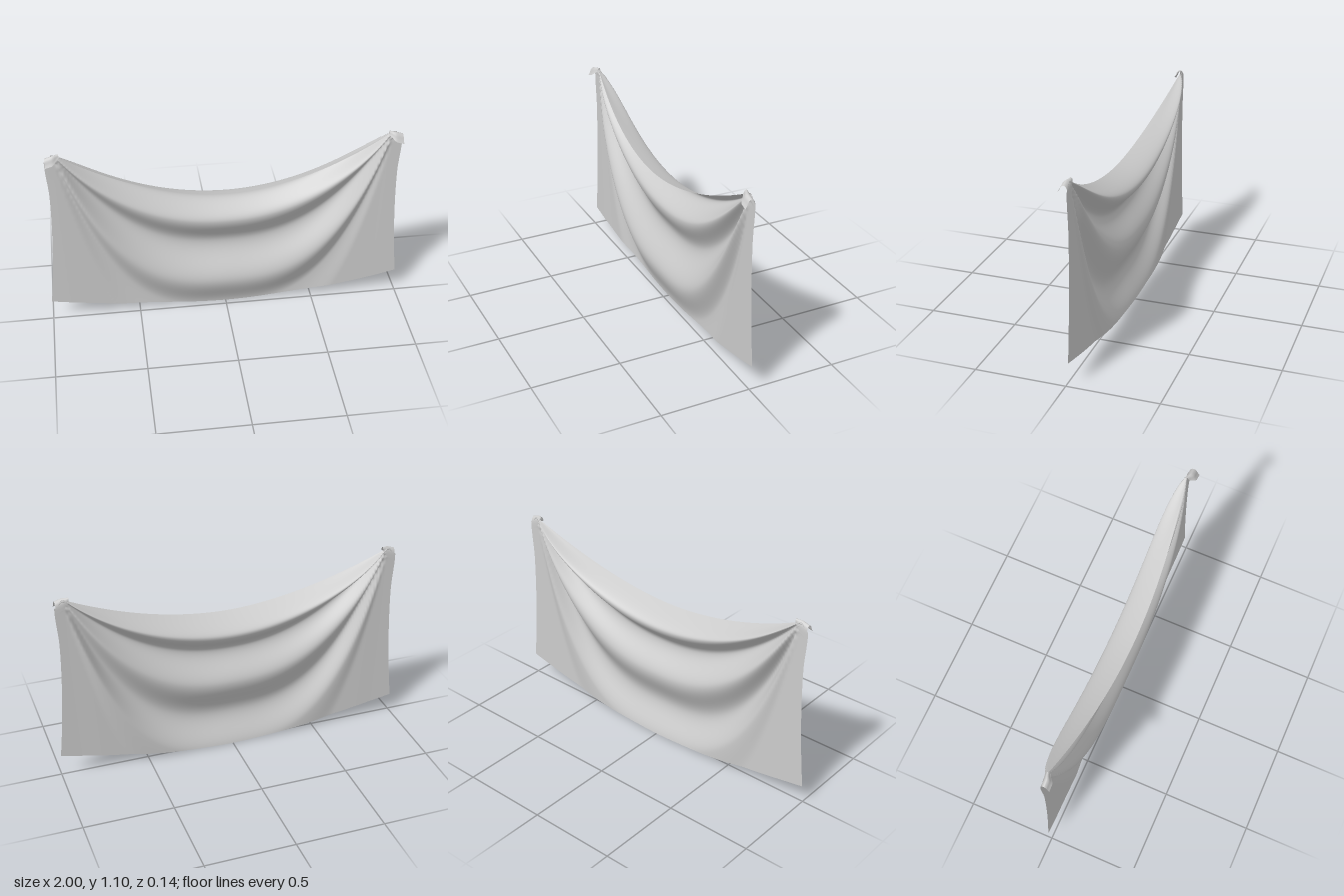
import * as THREE from 'three';

// Fold depth along the middle of the cloth: [height, z] at each ridge and valley
const FOLDS = [[0.905, 0.212], [0.735, -0.072], [0.6, 0.024], [0.42, -0.054],
  [0.19, 0.032], [-0.02, -0.035], [-0.3, -0.018], [-3, -0.015]];
const BASE_Z = -0.015, PEG_X = 0.92, PEG_Y = 1.09;
const { lerp, smoothstep, clamp } = THREE.MathUtils;

function foldDepth(h) {
  for (let i = 1; i < FOLDS.length; i++) {
    const [h1, z1] = FOLDS[i - 1], [h0, z0] = FOLDS[i];
    if (h >= h0) return lerp(z0, z1, smoothstep(h, h0, h1));
  }
  return BASE_Z;
}

// A swag line hung between both pegs, passing the middle at height h
const swag = (h, t) => h + (PEG_Y - h) * Math.pow(t, 1.9 + 1.5 * (0.82 - h));

// Finds which swag line runs through a point
function swagAt(t, y) {
  let lo = -2.5, hi = 0.82;
  for (let i = 0; i < 30; i++) {
    const mid = (lo + hi) / 2;
    if (swag(mid, t) < y) lo = mid; else hi = mid;
  }
  return (lo + hi) / 2;
}

// Half width of the cloth: flared at the hem, drawn in near the upper third
const halfWidth = (y) => 0.955 + 0.06 * Math.pow(clamp((0.8 - y) / 0.8, 0, 1), 1.8)
  + 0.012 * smoothstep(y, 0.82, 1.03);

function clothPoint(u, v, target) {
  const a = Math.abs(u), xTop = a * 0.967;
  const top = swag(0.82, Math.min(xTop / PEG_X, 1)) - 0.045 * smoothstep(xTop, PEG_X, 0.967);
  const bottom = 0.122 * Math.pow(a, 1.7) + 0.012 * u * a * a;
  const y = lerp(top, bottom, Math.pow(v, 1.5));
  const x = u * lerp(0.967, halfWidth(y), smoothstep(v, 0, 0.15));
  const t = Math.min(Math.abs(x) / PEG_X, 0.985);
  const h = swagAt(t, y);
  // folds fade out at the pegs; the turned top edge fades sooner
  const fade = lerp(1 - Math.pow(t, 8), 1 - t * t, smoothstep(h, 0.735, 0.82));
  const side = 1 - smoothstep(Math.abs(x), 0.86, 0.97);
  return target.set(x, y, BASE_Z + (foldDepth(h) - BASE_Z) * fade * side);
}

// Rebuilds a flat grid from a rule of u (-1..1 across) and v (0..1 downwards)
function gridSurface(nx, ny, rule) {
  const geo = new THREE.PlaneGeometry(2, 2, nx, ny);
  const pos = geo.attributes.position, p = new THREE.Vector3();
  for (let i = 0; i < pos.count; i++) {
    rule(pos.getX(i), (1 - pos.getY(i)) / 2, p);
    pos.setXYZ(i, p.x, p.y, p.z);
  }
  geo.computeVertexNormals();
  return geo;
}

// Small corner of cloth turned over forwards at each peg
function flapRule(side) {
  const curl = new THREE.CatmullRomCurve3([
    [-0.018, -0.05], [-0.015, -0.005], [0.002, 0.012], [0.018, 0.002], [0.028, -0.018], [0.038, -0.034],
  ].map(([z, y]) => new THREE.Vector3(0, y, z)));
  return (u, v, target) => {
    const w = (u * side + 1) / 2;              // 0 inner end, 1 outer end
    curl.getPoint(v, target);
    const size = lerp(0.45, 1, smoothstep(w, 0, 0.5));
    const x = lerp(0.89, 0.96, w) + 0.008 * v * (w - 0.5);
    return target.set(side * x,
      1.09 - 0.024 * w + target.y * size,
      BASE_Z + (target.z - BASE_Z) * size * (side > 0 ? 1 : 0.85));
  };
}

export function createModel() {
  const group = new THREE.Group();
  group.name = 'hangingCloth';
  const material = new THREE.MeshStandardMaterial({ color: 0xcccccc, side: THREE.DoubleSide });
  const add = (name, geo) => {
    const mesh = new THREE.Mesh(geo, material);
    mesh.name = name;
    group.add(mesh);
  };

  add('drapedSheet', gridSurface(150, 130, clothPoint));
  add('leftCornerFlap', gridSurface(8, 14, flapRule(1)));
  add('rightCornerFlap', gridSurface(8, 14, flapRule(-1)));
  return group;
}
